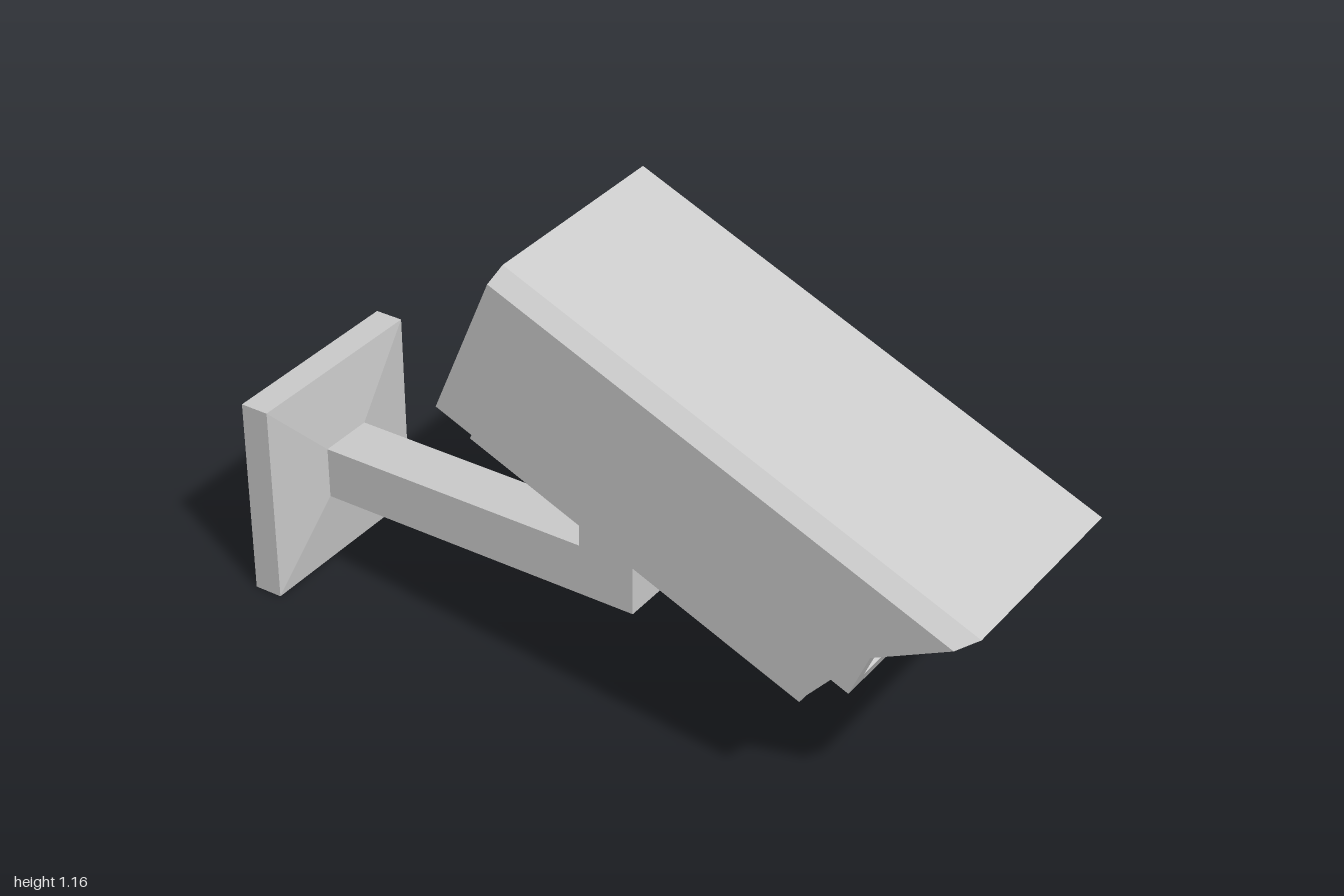
import * as THREE from 'three';

const material = new THREE.MeshStandardMaterial({ color: 0xcccccc, flatShading: true });
const shellMaterial = new THREE.MeshStandardMaterial({ color: 0xcccccc, flatShading: true, side: THREE.DoubleSide });

function part(name, geometry, mat = material) {
  const mesh = new THREE.Mesh(geometry, mat);
  mesh.name = name;
  return mesh;
}

// Skin a row of four-cornered rings, with optional end caps
function loft(rings, capped = false) {
  const out = [];
  const tri = (...corners) => corners.forEach((p) => out.push(...p));
  for (let i = 0; i < rings.length - 1; i++) {
    for (let j = 0; j < 4; j++) {
      const k = (j + 1) % 4;
      const a = rings[i][j], b = rings[i][k], c = rings[i + 1][k], d = rings[i + 1][j];
      tri(a, b, c);
      tri(a, c, d);
    }
  }
  if (capped) {
    const s = rings[0], e = rings[rings.length - 1];
    tri(s[0], s[2], s[1]);
    tri(s[0], s[3], s[2]);
    tri(e[0], e[1], e[2]);
    tri(e[0], e[2], e[3]);
  }
  const geometry = new THREE.BufferGeometry();
  geometry.setAttribute('position', new THREE.Float32BufferAttribute(out, 3));
  geometry.computeVertexNormals();
  return geometry;
}

// Ring between an upper and a lower edge of half width w
const section = (x1, y1, x2, y2, w) => [[x1, y1, -w], [x1, y1, w], [x2, y2, w], [x2, y2, -w]];

function square(PathType, half) {
  return new PathType([[-1, -1], [1, -1], [1, 1], [-1, 1]].map(([x, y]) => new THREE.Vector2(x * half, y * half)));
}

// Folded sheet cover: per fold line the outer v, z, inner v, z and front reach
function hoodGeometry() {
  const half = [
    [-0.434, 0.31, -0.434, 0.296, 1.053],
    [-0.218, 0.31, -0.218, 0.296, 1.125],
    [-0.038, 0.31, -0.044, 0.296, 1.279],
    [0, 0.272, -0.014, 0.266, 1.31],
  ];
  const mirrored = half.map(([v, z, iv, iz, u]) => [v, -z, iv, -iz, u]).reverse();
  const rings = [...half, ...mirrored].map(([v, z, iv, iz, u]) => [
    [0, v, z], [u, v, z], [u + (iv - v) * 0.82, iv, iz], [0, iv, iz],
  ]);
  return loft(rings, true);
}

export function createModel() {
  const model = new THREE.Group();
  model.name = 'securityCamera';

  // Hollow wall plate with a shallow pyramid face, open at the back
  model.add(part('wallPlate', loft([
    section(-1, 0.53, -1, 0, 0.262),
    section(-0.925, 0.53, -0.925, 0, 0.262),
    section(-0.905, 0.335, -0.905, 0.198, 0.073),
  ]), shellMaterial));

  // Hollow arm with a mitred elbow
  model.add(part('arm', loft([
    section(-0.905, 0.335, -0.905, 0.198, 0.073),
    section(-0.16, 0.335, -0.01, 0.198, 0.073),
    section(-0.16, 0.58, -0.01, 0.52, 0.073),
  ]), shellMaterial));

  // Camera head, tilted down; local x runs along the barrel from the hood's rear top edge
  const head = new THREE.Group();
  head.name = 'cameraHead';
  head.position.set(-0.21, 1.165, 0);
  head.rotation.z = THREE.MathUtils.degToRad(-23);
  model.add(head);

  head.add(part('hood', hoodGeometry()));

  const body = part('body', new THREE.BoxGeometry(0.965, 0.44, 0.44));
  body.position.set(0.5535, -0.319, 0);
  head.add(body);

  // Square frame around the lens
  const frame = square(THREE.Shape, 0.162);
  frame.holes.push(square(THREE.Path, 0.122));
  const bezel = part('lensFrame', new THREE.ExtrudeGeometry(frame, { depth: 0.074, bevelEnabled: false }));
  bezel.rotation.y = Math.PI / 2;
  bezel.position.set(1.036, -0.319, 0);
  head.add(bezel);

  // Eight-sided lens barrel with a recessed rim and a domed glass
  const profile = [
    [0.093, 0], [0.093, 0.086], [0.084, 0.096], [0.074, 0.096], [0.068, 0.082], [0.061, 0.082],
    [0.055, 0.092], [0.044, 0.099], [0.025, 0.105], [0, 0.107],
  ].map(([r, y]) => new THREE.Vector2(r, y));
  const lens = part('lens', new THREE.LatheGeometry(profile, 8));
  lens.rotation.z = -Math.PI / 2;
  lens.position.set(1.036, -0.319, 0);
  head.add(lens);

  return model;
}
